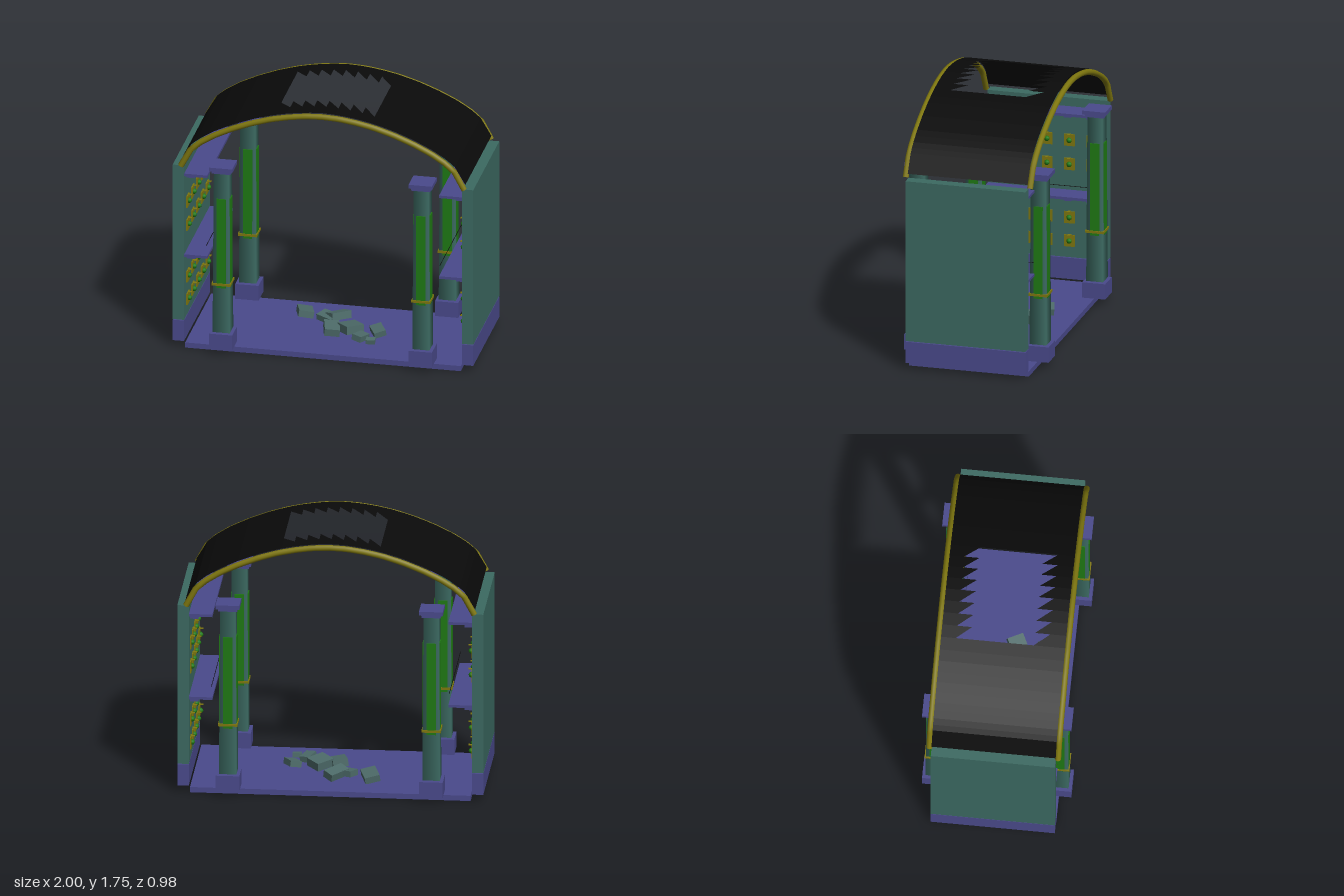
import * as THREE from 'three';

const mat = (color, extra = {}) => new THREE.MeshStandardMaterial({ color, ...extra });
const blue = mat(0x4a4a8c), wallMat = mat(0x3c6a62), green = mat(0x1f7a14), gold = mat(0x80780f);
const stone = mat(0x4c6a68), black = mat(0x0a0a0a, { side: THREE.DoubleSide });

function add(parent, name, geometry, material, x = 0, y = 0, z = 0) {
  const mesh = new THREE.Mesh(geometry, material);
  mesh.name = name;
  mesh.position.set(x, y, z);
  parent.add(mesh);
  return mesh;
}

// Box given by its centre in x and z, and its bottom and top heights
function block(parent, name, material, x, z, w, d, y0, y1) {
  return add(parent, name, new THREE.BoxGeometry(w, y1 - y0, d), material, x, (y0 + y1) / 2, z);
}

// Half of the arch centreline, from crown to springing
const ARCH = [[0, 1.724], [0.11, 1.719], [0.22, 1.703], [0.34, 1.678], [0.47, 1.638], [0.6, 1.587],
  [0.72, 1.529], [0.81, 1.472], [0.875, 1.415], [0.94, 1.295]];

function archPath() {
  const half = ARCH.map(([x, y]) => new THREE.Vector3(x, y, 0));
  const mirrored = half.slice(1).reverse().map(p => new THREE.Vector3(-p.x, p.y, 0));
  const path = new THREE.CurvePath();
  const pts = [...mirrored, ...half];
  for (let i = 1; i < pts.length; i++) path.add(new THREE.LineCurve3(pts[i - 1], pts[i]));
  return path;
}

// Height of the roof sheet, resting on top of the arch tubes
function roofY(x) {
  const a = Math.abs(x);
  let i = 1;
  while (i < ARCH.length - 1 && ARCH[i][0] < a) i++;
  const [x0, y0] = ARCH[i - 1], [x1, y1] = ARCH[i];
  const slope = (y1 - y0) / (x1 - x0);
  return y0 + slope * (a - x0) + 0.021 * Math.min(1.8, Math.hypot(1, slope));
}

// Roof sheet with a jagged, torn opening in the middle
function roofGeometry() {
  const pos = [], edge = 0.405;
  const strip = (xa, xb, a0, a1, b0, b1) => {
    const ya = roofY(xa), yb = roofY(xb);
    pos.push(xa, ya, a0, xa, ya, a1, xb, yb, b1, xa, ya, a0, xb, yb, b1, xb, yb, b0);
  };
  const sides = [0.32, 0.4, 0.47, 0.54, 0.6, 0.66, 0.72, 0.765, 0.81, 0.845, 0.875, 0.945];
  for (let i = 1; i < sides.length; i++) {
    strip(sides[i - 1], sides[i], -edge, edge, -edge, edge);
    strip(-sides[i], -sides[i - 1], -edge, edge, -edge, edge);
  }
  for (let k = 0; k < 8; k++) {
    const xa = -0.32 + k * 0.08, xb = xa + 0.08;
    strip(xa, xb, -edge, -0.31, -edge, -0.21);
    strip(xa, xb, 0.2, edge, 0.3, edge);
  }
  const g = new THREE.BufferGeometry();
  g.setAttribute('position', new THREE.Float32BufferAttribute(pos, 3));
  g.computeVertexNormals();
  return g;
}

function column(x, z) {
  const g = new THREE.Group();
  g.name = 'column';
  g.position.set(x, 0, z);
  block(g, 'columnBase', blue, 0, 0, 0.155, 0.155, 0.045, 0.15);
  const shaft = new THREE.CylinderGeometry(0.05 * Math.SQRT2, 0.057 * Math.SQRT2, 1.13, 4, 1).rotateY(Math.PI / 4);
  add(g, 'columnShaft', shaft.toNonIndexed(), wallMat, 0, 0.72, 0);
  // Green inlays on all four faces
  block(g, 'inlay', green, 0, 0, 0.062, 0.115, 0.47, 1.1);
  block(g, 'inlay', green, 0, 0, 0.115, 0.062, 0.47, 1.1);
  block(g, 'columnBand', gold, 0, 0, 0.126, 0.126, 0.487, 0.503);
  block(g, 'capitalNeck', blue, 0, 0, 0.125, 0.125, 1.28, 1.3);
  block(g, 'capital', blue, 0, 0, 0.155, 0.155, 1.3, 1.327);
  return g;
}

// Wall with plinth, shelves and ornaments; s is the side, +1 or -1
function sideWall(s) {
  const g = new THREE.Group();
  g.name = s > 0 ? 'leftWall' : 'rightWall';
  block(g, 'wallPanel', wallMat, s * 0.96, 0, 0.075, 0.81, 0.195, 1.29);
  block(g, 'plinth', blue, s * 0.96, 0, 0.075, 0.81, 0.045, 0.19);
  const bays = [-0.3, -0.15, 0, 0.15, 0.3];
  for (const y of [0.64, 1.212]) {
    block(g, 'shelf', blue, s * 0.847, 0, 0.155, 0.8, y, y + 0.018);
    for (const z of bays) block(g, 'bracket', blue, s * 0.895, z, 0.055, 0.05, y - 0.042, y - 0.008);
  }
  // Thin wire strung above the lower shelf
  add(g, 'wire', new THREE.CylinderGeometry(0.002, 0.002, 0.8, 5).rotateX(Math.PI / 2), black, s * 0.775, 0.735, 0);
  // Ornamental plates with a knob and a small lip
  for (const y of [0.31, 0.47, 0.835, 1.0]) {
    for (const z of bays) {
      block(g, 'plate', gold, s * 0.92, z, 0.012, 0.07, y - 0.04, y + 0.04);
      add(g, 'knob', new THREE.SphereGeometry(0.018, 8, 6), green, s * 0.91, y, z);
      block(g, 'plateLip', gold, s * 0.906, z, 0.03, 0.02, y + 0.04, y + 0.044);
    }
  }
  return g;
}

export function createModel() {
  const model = new THREE.Group();
  model.name = 'vaultedHall';
  block(model, 'floor', blue, 0, 0, 1.83, 0.81, 0, 0.036);
  for (const s of [1, -1]) {
    model.add(sideWall(s));
    for (const z of [-0.41, 0.41]) model.add(column(s * 0.663, z));
    add(model, 'archRib', new THREE.TubeGeometry(archPath(), 48, 0.02, 8), gold, 0, 0, s * 0.42);
  }
  add(model, 'brokenRoof', roofGeometry(), black);

  // Fallen rubble: x, z, width, depth, turn, height
  const rubble = [
    [-0.24, -0.17, 0.1, 0.14, 0.3, 0.045], [-0.08, -0.12, 0.12, 0.09, -0.5, 0.04],
    [-0.015, -0.15, 0.08, 0.15, -0.75, 0.05], [-0.015, 0.065, 0.1, 0.13, 0.25, 0.05],
    [0.105, 0.035, 0.13, 0.12, 0.75, 0.055], [0.285, 0.03, 0.08, 0.11, 0.5, 0.04],
    [0.195, 0.15, 0.07, 0.1, -0.4, 0.04], [0.27, 0.19, 0.06, 0.045, 0.05, 0.03],
  ];
  rubble.forEach(([x, z, w, d, turn, h], i) => {
    const rock = add(model, 'rubble', new THREE.BoxGeometry(w, h, d), stone, x, 0.05 + h / 2, z);
    rock.rotation.set(0.12 * (i % 2 ? 1 : -1), turn, 0.15 * (i % 3 - 1));
  });
  return model;
}
